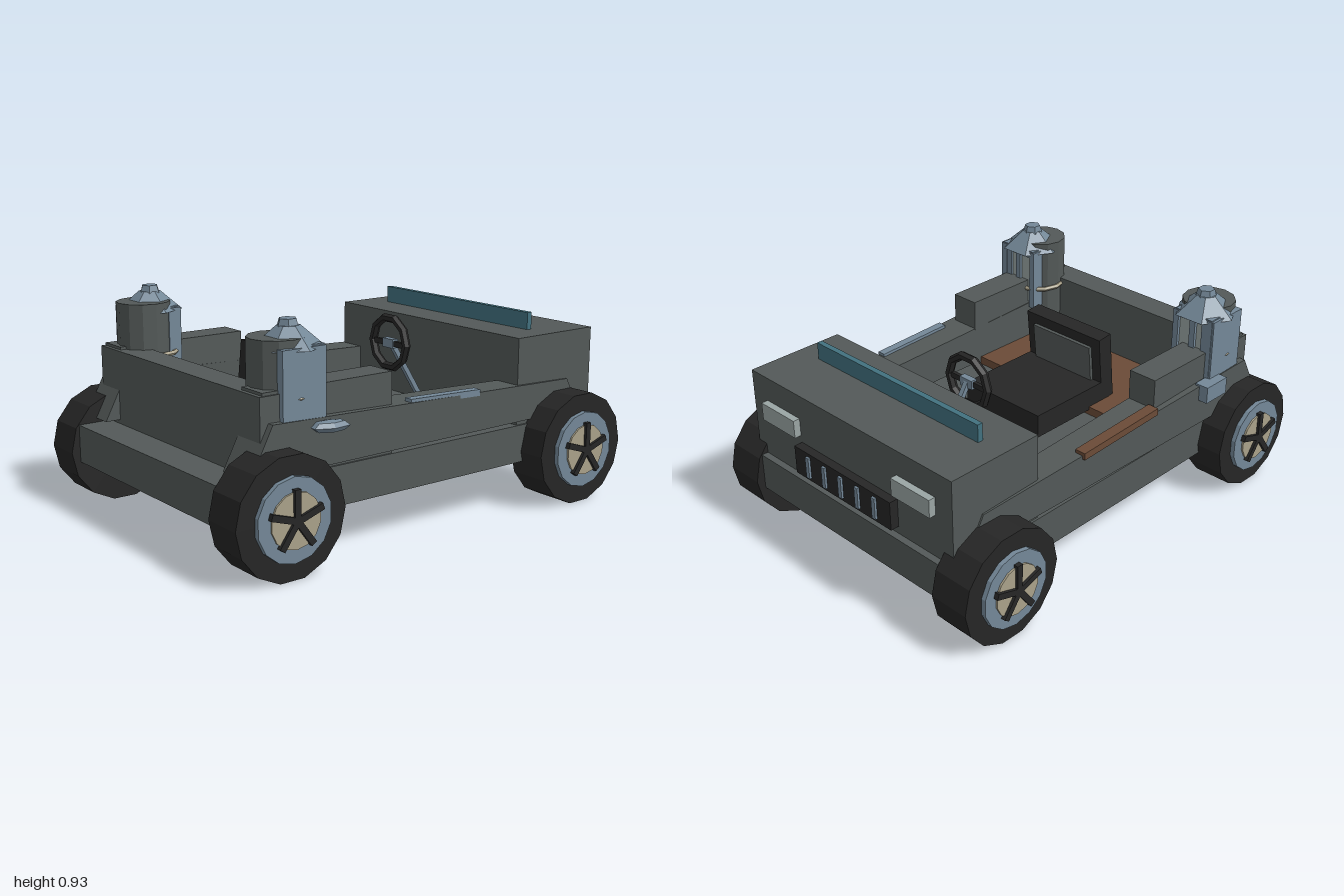
import * as THREE from 'three';

const mat = (name, color) => {
  const m = new THREE.MeshStandardMaterial({ color });
  m.name = name;
  return m;
};

export function createModel() {
  const root = new THREE.Group();
  root.name = 'openVehicle';
  const grey = mat('bodyGrey', 0x535958);
  const black = mat('rubberBlack', 0x262626);
  const blue = mat('steelBlue', 0x748898);
  const cream = mat('creamMetal', 0xaaa28a);
  const brown = mat('brownFloor', 0x6b4b37);
  const teal = mat('tealGlass', 0x42717f);
  const pale = mat('paleLamp', 0x9aa5a4);

  // Faceted mesh helper
  function add(name, geo, material, x = 0, y = 0, z = 0, parent = root) {
    const g = geo.index ? geo.toNonIndexed() : geo;
    g.computeVertexNormals();
    const m = new THREE.Mesh(g, material);
    m.name = name;
    m.position.set(x, y, z);
    parent.add(m);
    return m;
  }
  // Box given by its limits on each axis
  function box(name, material, [x0, x1], [y0, y1], [z0, z1], parent = root) {
    const g = new THREE.BoxGeometry(Math.abs(x1 - x0), y1 - y0, z1 - z0);
    return add(name, g, material, (x0 + x1) / 2, (y0 + y1) / 2, (z0 + z1) / 2, parent);
  }

  // Main body
  box('lowerBody', grey, [-0.6, 0.6], [0.2, 0.362], [-0.967, 0.967]);
  box('hood', grey, [-0.59, 0.59], [0.36, 0.735], [-0.937, -0.495]);
  box('frontPanel', grey, [-0.6, 0.6], [0.36, 0.678], [0.69, 0.817]);
  box('cabinFloor', brown, [-0.46, 0.46], [0.36, 0.4], [0.23, 0.69]);
  box('windscreen', teal, [-0.47, 0.47], [0.73, 0.81], [-0.69, -0.665]);

  // Grille and lamps on the hood end
  box('grille', black, [-0.288, 0.288], [0.395, 0.52], [-0.975, -0.93]);
  for (let i = -2; i <= 2; i++)
    box('grilleBar', blue, [i * 0.1 - 0.01, i * 0.1 + 0.01], [0.41, 0.505], [-0.985, -0.97]);
  for (const s of [-1, 1])
    box('lamp', pale, [s * 0.29, s * 0.5], [0.55, 0.628], [-0.967, -0.93]);

  // Side walls: sloped profile, widening slightly toward the front
  function sideWall(s) {
    const shape = new THREE.Shape(
      [[-0.78, 0.577], [-0.885, 0.38], [0.87, 0.38], [0.79, 0.525]].map(p => new THREE.Vector2(...p)));
    const g = new THREE.ExtrudeGeometry(shape, { depth: 1, bevelEnabled: false });
    g.rotateY(Math.PI / 2);
    const p = g.attributes.position;
    for (let i = 0; i < p.count; i++) {
      const w = s > 0 ? p.getX(i) : 1 - p.getX(i);
      const z = p.getZ(i);
      const inner = 0.462 - 0.01 * z, outer = 0.613 + 0.02 * z;
      p.setX(i, s * (inner + (outer - inner) * w));
    }
    add('sideWall', g, grey);
    box('armBox', grey, [s * 0.46, s * 0.592], [0.36, 0.69], [0.195, 0.8]);
  }
  [-1, 1].forEach(sideWall);
  box('brownSillStrip', brown, [-0.62, -0.57], [0.535, 0.566], [-0.26, 0.19]).rotation.x = -0.035;
  box('blueSillStrip', blue, [0.572, 0.61], [0.535, 0.562], [-0.26, 0.11]).rotation.x = -0.035;

  // Wheels
  function wheel(s, z) {
    const w = new THREE.Group();
    w.name = 'wheel';
    w.position.set(0, 0.2435, z);
    root.add(w);
    const disc = (name, m, r, x0, x1, n) => {
      const g = new THREE.CylinderGeometry(r, r, x1 - x0, n);
      g.rotateZ(Math.PI / 2);
      g.rotateX(Math.PI / 2);
      g.rotateX(Math.PI / 2 - Math.PI / 2);
      return add(name, g, m, s * (x0 + x1) / 2, 0, 0, w);
    };
    const tyre = disc('tyre', black, 0.2435, 0.54, 0.717, 14);
    tyre.rotation.x = Math.PI / 2;
    disc('rim', blue, 0.165, 0.7, 0.737, 14);
    disc('hubPlate', cream, 0.11, 0.7, 0.745, 14);
    disc('hub', black, 0.025, 0.7, 0.757, 8);
    for (let k = 0; k < 5; k++) {
      const g = new THREE.BoxGeometry(0.03, 0.115, 0.026);
      g.translate(0, 0.0625, 0);
      add('spoke', g, black, s * 0.742, 0, 0, w).rotation.x = k * Math.PI * 2 / 5;
    }
  }
  for (const s of [-1, 1]) for (const z of [-0.762, 0.762]) wheel(s, z);

  // Seat
  box('seatCushion', black, [-0.213, 0.213], [0.385, 0.49], [-0.095, 0.36]);
  const back = new THREE.Group();
  back.name = 'seatBack';
  back.position.set(0, 0.4, 0.352);
  back.rotation.x = -0.1;
  root.add(back);
  box('backRest', black, [-0.213, 0.213], [0, 0.308], [-0.037, 0.037], back);
  box('backPanel', grey, [-0.165, 0.165], [0.08, 0.26], [-0.052, -0.03], back);

  // Steering wheel and column
  add('steeringWheel', new THREE.TorusGeometry(0.113, 0.019, 6, 10), black, 0, 0.652, -0.288);
  box('steeringSpoke', black, [-0.11, 0.11], [0.638, 0.662], [-0.296, -0.28]);
  box('steeringHub', blue, [-0.035, 0.035], [0.63, 0.67], [-0.305, -0.275]);
  add('steeringColumn', new THREE.BoxGeometry(0.022, 0.355, 0.022), blue, 0, 0.51, -0.385)
    .rotation.x = Math.atan2(0.19, 0.3);

  // Lantern towers at the front corners
  function tower(s) {
    const t = new THREE.Group();
    t.name = 'tower';
    root.add(t);
    const X = (a, b) => [s * a, s * b];
    add('drum', new THREE.CylinderGeometry(0.114, 0.114, 0.49, 12), grey, s * 0.493, 0.625, 0.668, t);
    box('outerPlate', blue, X(0.56, 0.622), [0.56, 0.84], [0.535, 0.73], t);
    box('backPlate', pale, X(0.43, 0.6), [0.58, 0.82], [0.546, 0.6], t);
    for (const x of [0.425, 0.513, 0.6])
      box('backRib', blue, X(x - 0.014, x + 0.014), [0.56, 0.84], [0.532, 0.59], t);
    box('backTopRail', blue, X(0.42, 0.61), [0.81, 0.845], [0.535, 0.6], t);
    const ring = add('creamRing', new THREE.TorusGeometry(0.122, 0.011, 5, 12), cream, s * 0.493, 0.652, 0.648, t);
    ring.rotation.x = Math.PI / 2;
    // Flared roof and cap
    add('roof', new THREE.CylinderGeometry(0.045, 0.137, 0.08, 6), blue, s * 0.51, 0.868, 0.625, t)
      .rotation.y = Math.PI / 6;
    add('roofCap', new THREE.CylinderGeometry(0.035, 0.05, 0.05, 6), blue, s * 0.507, 0.908, 0.625, t);
  }
  [-1, 1].forEach(tower);

  // Fittings below the towers
  box('sideBox', blue, [-0.665, -0.6], [0.5, 0.575], [0.465, 0.6]);
  const pod = add('sidePod', new THREE.SphereGeometry(1, 6, 4), blue, 0.645, 0.538, 0.535);
  pod.scale.set(0.042, 0.025, 0.087);
  pod.rotation.y = -0.15;

  return root;
}
